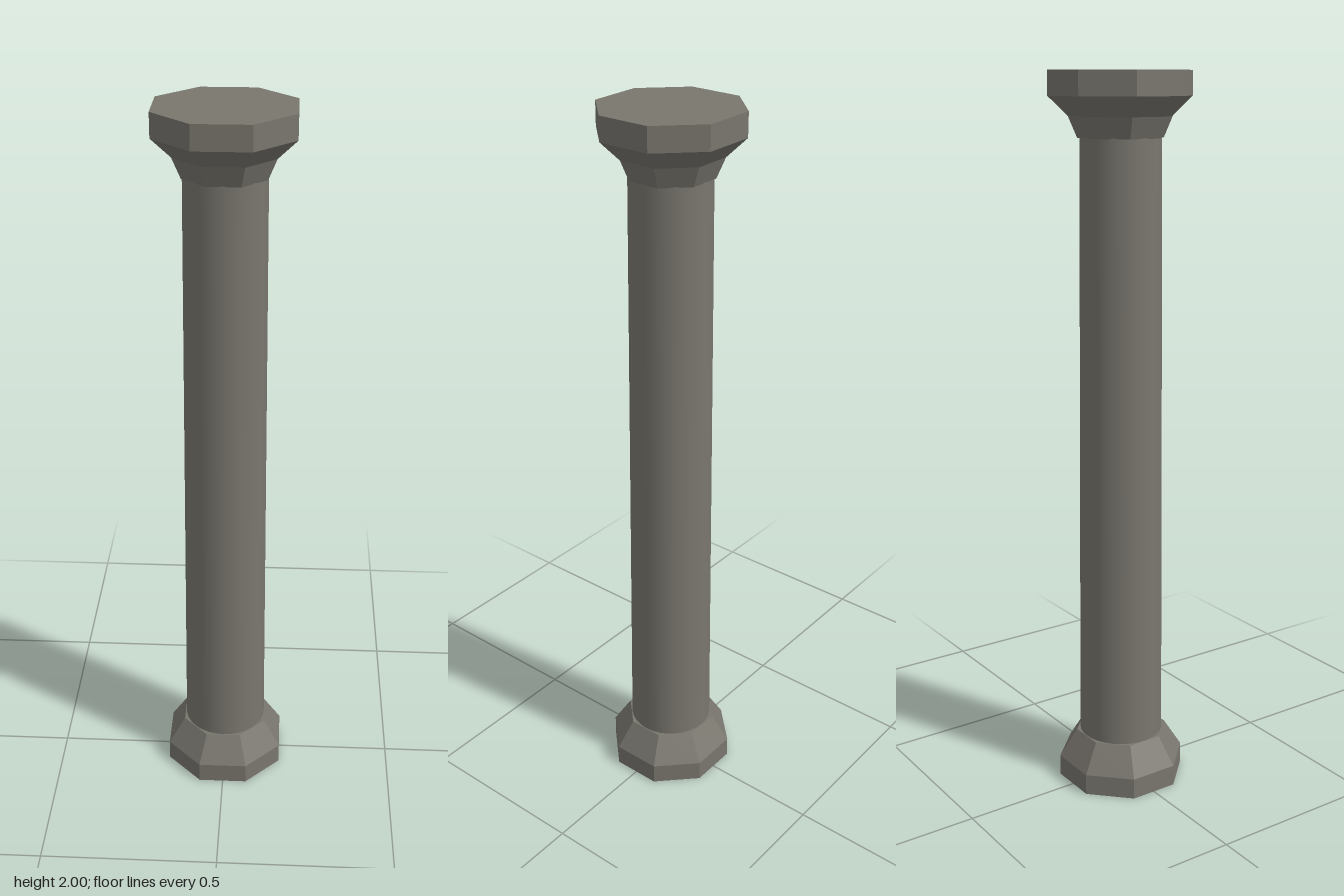
import * as THREE from 'three';

const stone = new THREE.MeshStandardMaterial({ color: 0x79766e });
stone.name = 'greyStone';

// Faceted octagonal solid from [distance to flat side, height] pairs, bottom to top
function octagonal(name, profile) {
  const points = profile.map(([apothem, y]) =>
    new THREE.Vector2(apothem / Math.cos(Math.PI / 8), y));
  const geometry = new THREE.LatheGeometry(points, 8, Math.PI / 8).toNonIndexed();
  geometry.computeVertexNormals();
  const mesh = new THREE.Mesh(geometry, stone);
  mesh.name = name;
  return mesh;
}

export function createModel() {
  const column = new THREE.Group();
  column.name = 'column';

  // Base: plinth with a sloped shoulder
  column.add(octagonal('base', [
    [0, 0], [0.168, 0], [0.168, 0.06], [0.121, 0.14], [0, 0.14],
  ]));

  // Round shaft, slightly tapered, ends sunk into base and capital
  const bottom = 0.13, top = 1.85;
  const shaft = new THREE.Mesh(
    new THREE.CylinderGeometry(0.108, 0.119, top - bottom, 32), stone);
  shaft.name = 'shaft';
  shaft.position.y = (bottom + top) / 2;
  column.add(shaft);

  // Capital: flared in two steps up to a flat slab
  column.add(octagonal('capital', [
    [0, 1.83], [0.107, 1.83], [0.129, 1.885], [0.178, 1.936], [0.178, 2], [0, 2],
  ]));

  return column;
}
